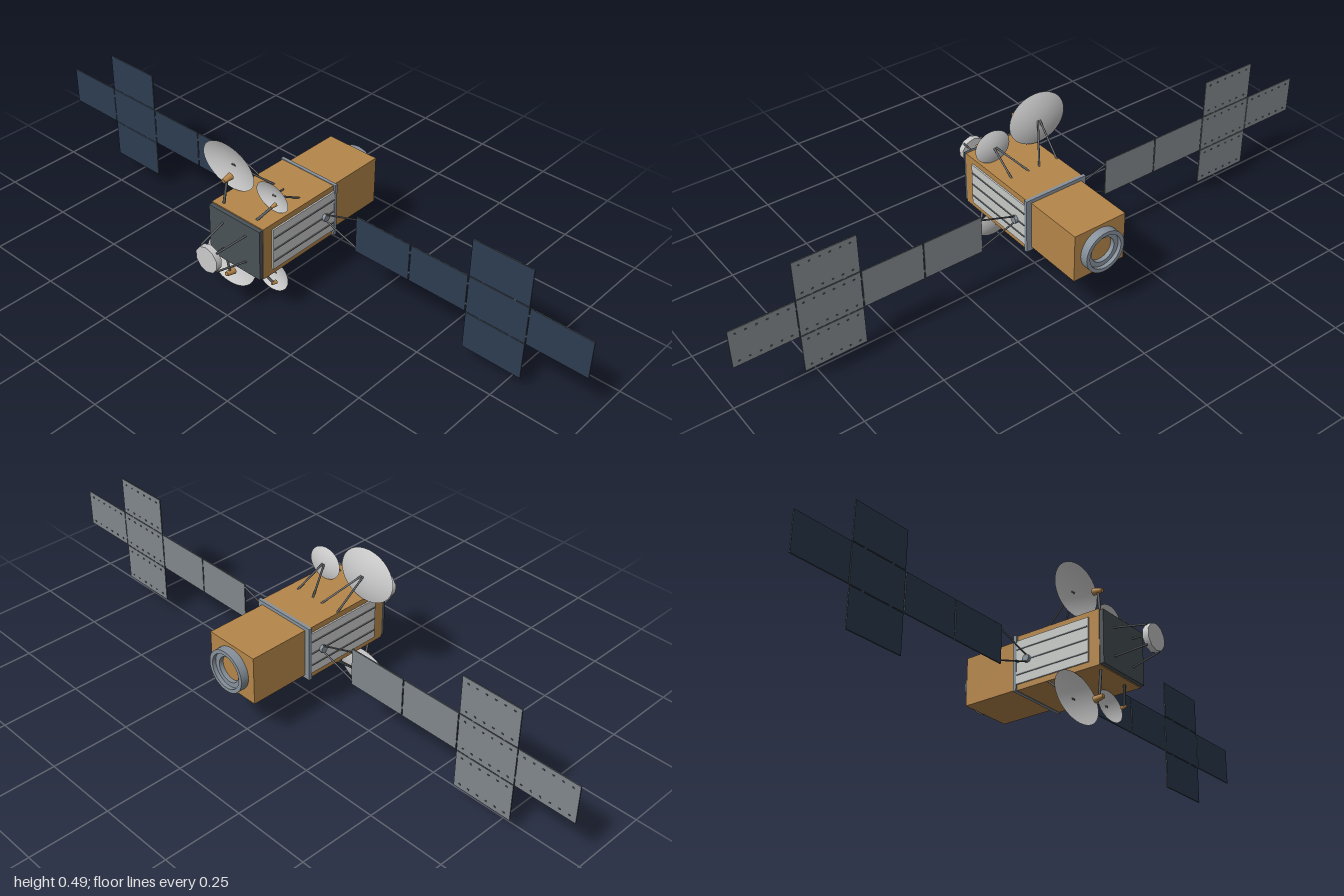
import * as THREE from 'three';

const mat = (name, color, side = THREE.FrontSide) => {
  const m = new THREE.MeshStandardMaterial({ color, side });
  m.name = name;
  return m;
};

export function createModel() {
  const foil = mat('gold foil', 0xb5864a);
  const slate = mat('dark slate', 0x4a5257);
  const radiator = mat('radiator white', 0xc8cac8);
  const metal = mat('blue grey metal', 0x87919b);
  const strutGrey = mat('strut grey', 0x5c6064);
  const dishWhite = mat('dish white', 0xcccccc, THREE.DoubleSide);
  const navy = mat('solar navy', 0x2d3c52);
  const backing = mat('panel backing grey', 0x80878c);
  const pipeGrey = mat('pipe grey', 0x7e8488);

  const model = new THREE.Group();
  model.name = 'satellite';
  const CY = 0.249;

  const add = (name, geo, material, parent = model) => {
    const m = new THREE.Mesh(geo, material);
    m.name = name;
    parent.add(m);
    return m;
  };
  const box = (name, w, h, d, x, y, z, material, parent) => {
    const m = add(name, new THREE.BoxGeometry(w, h, d), material, parent);
    m.position.set(x, y, z);
    return m;
  };
  // Cylinder or cone running from point a (radius ra) to point b (radius rb)
  const rod = (name, a, b, ra, rb, material, parent, sides = 8) => {
    const p = new THREE.Vector3(...a), q = new THREE.Vector3(...b);
    const m = add(name, new THREE.CylinderGeometry(rb, ra, p.distanceTo(q), sides), material, parent);
    m.position.copy(p).add(q).multiplyScalar(0.5);
    m.quaternion.setFromUnitVectors(new THREE.Vector3(0, 1, 0), q.sub(p).normalize());
    return m;
  };
  // Flat-ended ring around z
  const ring = (name, outer, inner, depth, z, material) => {
    const s = new THREE.Shape().absarc(0, 0, outer, 0, Math.PI * 2, false);
    s.holes.push(new THREE.Path().absarc(0, 0, inner, 0, Math.PI * 2, true));
    const g = new THREE.ExtrudeGeometry(s, { depth, bevelEnabled: false, curveSegments: 28 });
    add(name, g, material).position.set(0, CY, z);
  };

  // Body
  box('mainBody', 0.2, 0.173, 0.3, 0, CY, 0.05, foil);
  box('rearBody', 0.178, 0.155, 0.2, 0, CY, -0.195, foil);
  box('frontPlate', 0.196, 0.166, 0.013, 0, CY, 0.2065, slate);
  box('collar', 0.212, 0.177, 0.011, 0, CY, -0.0965, metal);
  ring('engineRing', 0.067, 0.055, 0.026, -0.321, metal);
  ring('engineInnerRing', 0.055, 0.04, 0.014, -0.309, metal);

  // Side radiators with heat pipes
  for (const s of [-1, 1]) {
    box('radiator', 0.006, 0.137, 0.257, s * 0.102, CY, 0.0365, radiator);
    for (const dy of [-0.04, 0, 0.04])
      box('heatPipe', 0.003, 0.0035, 0.253, s * 0.106, CY + dy, 0.0365, pipeGrey);
  }

  // Front antenna on four legs
  rod('frontAntenna', [0, CY, 0.304], [0, CY, 0.323], 0.042, 0.042, dishWhite, model, 10);
  for (const sx of [-1, 1]) for (const sy of [-1, 1])
    rod('frontLeg', [sx * 0.045, CY + sy * 0.045, 0.212], [sx * 0.03, CY + sy * 0.031, 0.312],
      0.003, 0.003, strutGrey);

  // Dishes: one large and one small on the top, mirrored to the underside
  const dishes = [
    { name: 'largeDish', x: -0.105, y: 0.169, rx: 0.1, ry: 0.079, z: 0.11, depth: 0.016, hit: 0.168,
      bases: [-0.03, -0.095], armBase: [-0.07, 0.08, 0.183], feed: [-0.064, 0.166, 0.172], half: 0.015, r: 0.011 },
    { name: 'smallDish', x: 0.06, y: 0.137, rx: 0.06, ry: 0.049, z: 0.11, depth: 0.011, hit: 0.136,
      bases: [0.005, 0.068], armBase: [0.05, 0.08, 0.179], feed: [0.09, 0.135, 0.148], half: 0.009, r: 0.0062 },
  ];
  for (const s of [1, -1]) for (const d of dishes) {
    const g = new THREE.Group();
    g.name = d.name + 'Assembly';
    g.position.y = CY;
    model.add(g);

    const profile = [];
    for (let i = 0; i <= 8; i++) profile.push(new THREE.Vector2(i / 8, (i / 8) ** 2));
    const bowl = new THREE.LatheGeometry(profile, 40);
    bowl.scale(d.rx, d.depth, d.ry);
    bowl.rotateX(Math.PI / 2);
    const dish = add(d.name, bowl, dishWhite, g);
    dish.position.set(d.x, s * d.y, d.z);
    dish.rotation.x = s * 0.12;

    for (const bx of d.bases)
      rod('dishStrut', [bx, s * 0.084, 0.017], [d.x + (bx - d.x) * 0.1, s * d.hit, 0.111],
        0.003, 0.003, strutGrey, g);

    // Feed horn and its arm
    const [fx, fy, fz] = d.feed;
    rod('feedArm', [d.armBase[0], s * d.armBase[1], d.armBase[2]], [fx, s * fy, fz], 0.004, 0.004, strutGrey, g);
    const tilt = d.half * 0.12;
    rod('feedHorn', [fx, s * (fy + tilt), fz - d.half], [fx, s * (fy - tilt), fz + d.half],
      d.r, d.r * 0.62, foil, g, 16);
  }

  // Solar wings
  const panelMats = [slate, slate, slate, slate, navy, backing];
  const panels = [[0.32, 0], [0.515, 0], [0.71, 0], [0.71, 0.1235], [0.71, -0.1235], [0.904, 0]];
  for (const s of [-1, 1]) {
    const wing = new THREE.Group();
    wing.name = s > 0 ? 'leftWing' : 'rightWing';
    wing.position.set(0, CY, -0.05);
    model.add(wing);

    rod('wingHub', [s * 0.1, 0, 0], [s * 0.115, 0, 0], 0.012, 0.012, metal, wing);
    for (const t of [-1, 1])
      rod('yoke', [s * 0.11, t * 0.01, 0], [s * 0.228, t * 0.05, 0], 0.0025, 0.0025, strutGrey, wing);

    panels.forEach(([x, y], k) => {
      box('solarPanel', 0.191, 0.1205, 0.004, s * x, y, 0, panelMats, wing);
      // Small fittings on the back
      if (k > 1) for (let i = 0; i < 6; i++) for (const t of [-1, 1])
        box('backFitting', 0.006, 0.004, 0.002, s * x + (i - 2.5) * 0.03, y + t * 0.045, -0.0025, slate, wing);
    });
    // Hinges between panels
    for (const x of [0.4175, 0.6125, 0.807]) for (const t of [-0.035, 0.035])
      box('hinge', 0.01, 0.008, 0.003, s * x, t, 0, slate, wing);
    for (const y of [-0.062, 0.062]) for (const t of [-0.05, 0.05])
      box('hinge', 0.008, 0.01, 0.003, s * 0.71 + t, y, 0, slate, wing);
  }

  return model;
}
